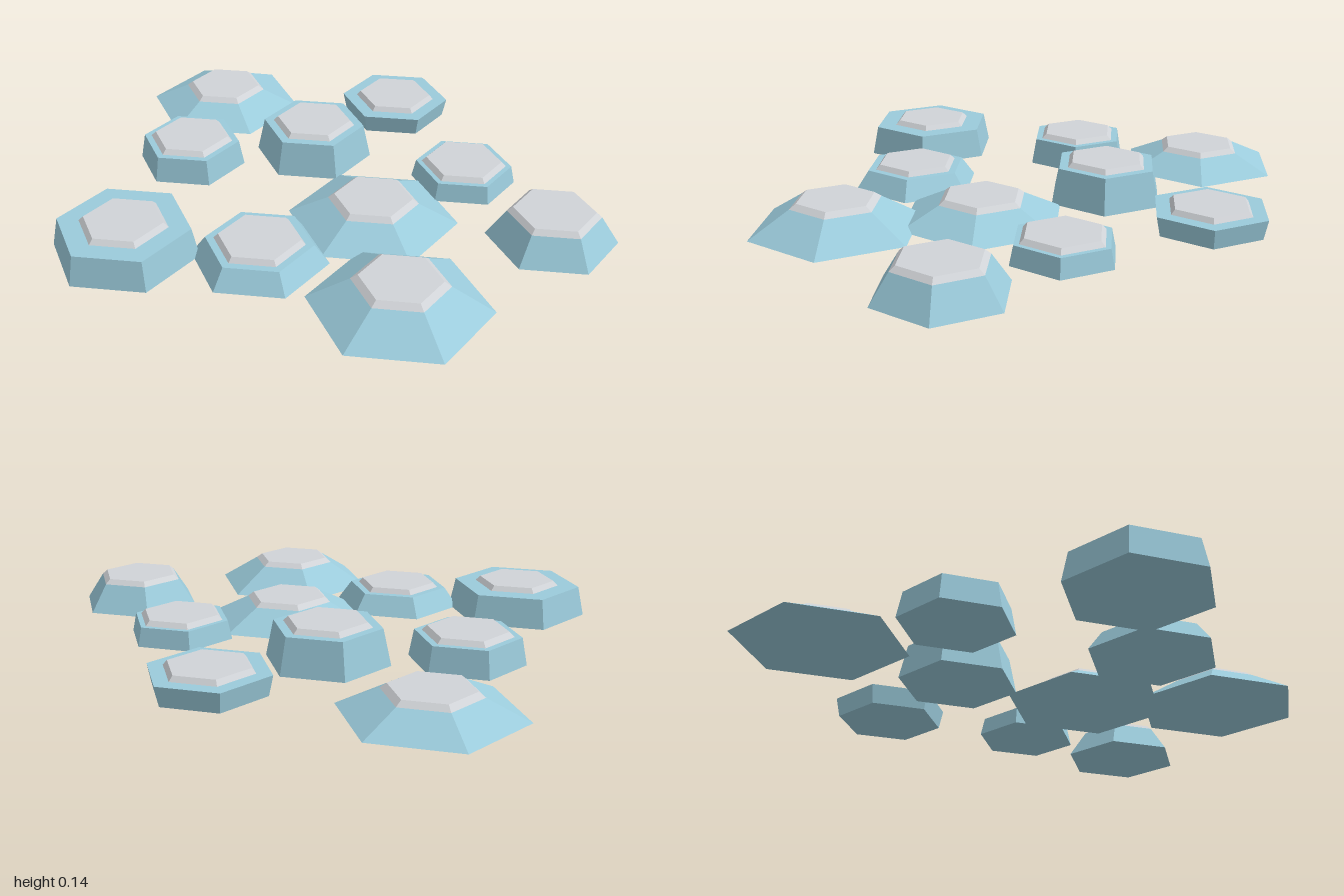
import * as THREE from 'three';

// [x, z, base radius, body top radius, body height, cap base radius, cap top radius]
const PADS = [
  [-0.74, -0.35, 0.30, 0.16, 0.065, 0.16, 0.138],
  [-0.13, -0.70, 0.195, 0.21, 0.07, 0.155, 0.14],
  [-0.20, -0.25, 0.218, 0.19, 0.128, 0.155, 0.138],
  [0.36, -0.43, 0.19, 0.175, 0.067, 0.155, 0.138],
  [0.80, -0.29, 0.227, 0.16, 0.099, 0.16, 0.14],
  [-0.53, 0.08, 0.20, 0.182, 0.095, 0.156, 0.138],
  [0.24, -0.02, 0.30, 0.16, 0.07, 0.16, 0.138],
  [0.59, 0.33, 0.305, 0.16, 0.088, 0.16, 0.136],
  [0.08, 0.41, 0.236, 0.185, 0.07, 0.156, 0.14],
  [-0.31, 0.65, 0.255, 0.232, 0.107, 0.155, 0.138],
];
const CAP_HEIGHT = 0.017;

// Faceted six-sided frustum standing on y = 0, with corners on the z axis
function hexFrustum(top, bottom, height) {
  const g = new THREE.CylinderGeometry(top, bottom, height, 6).toNonIndexed();
  g.translate(0, height / 2, 0);
  g.computeVertexNormals();
  return g;
}

export function createModel() {
  const blue = new THREE.MeshStandardMaterial({ color: 0x9bcbdb });
  blue.name = 'paleBlue';
  const grey = new THREE.MeshStandardMaterial({ color: 0xd0d3d7 });
  grey.name = 'lightGrey';

  const model = new THREE.Group();
  model.name = 'hexagonPads';

  PADS.forEach(([x, z, base, top, height, capBase, capTop], i) => {
    const pad = new THREE.Group();
    pad.name = `pad${i + 1}`;
    pad.position.set(x, 0, z);

    // Sloped blue body
    const body = new THREE.Mesh(hexFrustum(top, base, height), blue);
    body.name = 'body';

    // Bevelled grey cap
    const cap = new THREE.Mesh(hexFrustum(capTop, capBase, CAP_HEIGHT), grey);
    cap.name = 'cap';
    cap.position.y = height;

    pad.add(body, cap);
    model.add(pad);
  });
  return model;
}
